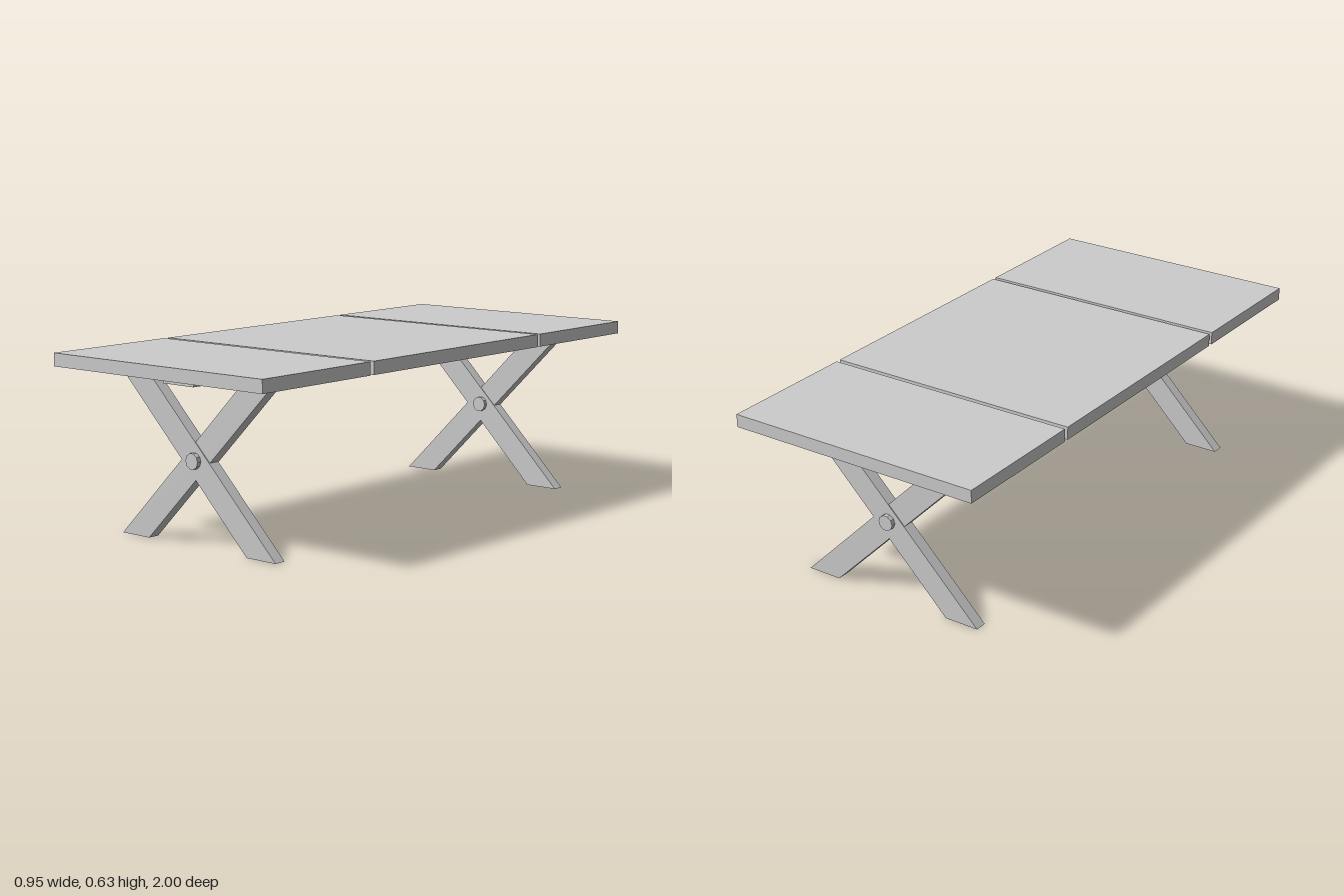
import * as THREE from 'three';

const material = new THREE.MeshStandardMaterial({ color: 0xcccccc, flatShading: true });

function add(parent, name, geometry, x = 0, y = 0, z = 0) {
  const mesh = new THREE.Mesh(geometry, material);
  mesh.name = name;
  mesh.position.set(x, y, z);
  parent.add(mesh);
  return mesh;
}

// Slanted plank with level ends; dir = 1 has its foot on +x
function legGeometry(dir, depth) {
  const outer = 0.357, inner = 0.229, top = 0.587;
  const shape = new THREE.Shape([
    [inner * dir, 0], [outer * dir, 0], [-inner * dir, top], [-outer * dir, top],
  ].map(([x, y]) => new THREE.Vector2(x, y)));
  return new THREE.ExtrudeGeometry(shape, { depth, bevelEnabled: false });
}

// Crossed pair of legs with a through bolt
function trestle(name) {
  const group = new THREE.Group();
  group.name = name;
  add(group, 'outerLeg', legGeometry(1, 0.043), 0, 0, 0.771);
  add(group, 'innerLeg', legGeometry(-1, 0.043), 0, 0, 0.768);
  const bolt = new THREE.CylinderGeometry(0.028, 0.028, 0.076, 10, 1, false, Math.PI / 2);
  bolt.rotateX(Math.PI / 2);
  add(group, 'bolt', bolt, -0.002, 0.294, 0.792);
  return group;
}

export function createModel() {
  const model = new THREE.Group();
  model.name = 'table';

  // Table top in three panels
  for (const [name, z0, z1] of [
    ['backPanel', -1, -0.481], ['middlePanel', -0.464, 0.464], ['frontPanel', 0.481, 1],
  ]) {
    add(model, name, new THREE.BoxGeometry(0.954, 0.046, z1 - z0), 0, 0.61, (z0 + z1) / 2);
  }

  // Battens under the top; the middle one runs between the legs
  for (const [name, x, length] of [
    ['rightBatten', -0.228, 1.375], ['middleBatten', -0.002, 1.77], ['leftBatten', 0.225, 1.375],
  ]) {
    add(model, name, new THREE.BoxGeometry(0.137, 0.032, length), x, 0.571, 0);
  }

  // Legs at both ends
  model.add(trestle('frontLegs'));
  const back = trestle('backLegs');
  back.rotation.y = Math.PI;
  model.add(back);

  return model;
}
